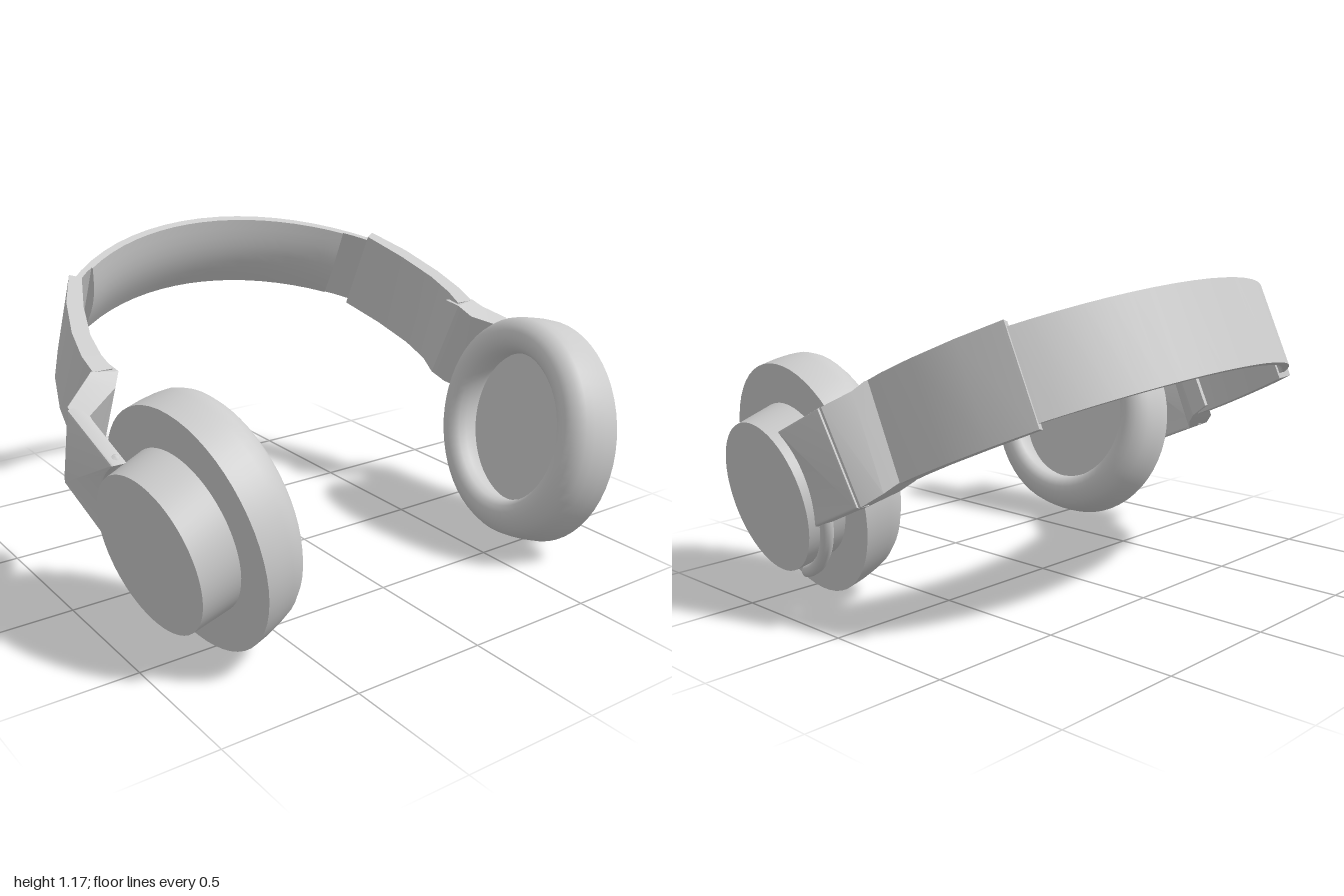
import * as THREE from 'three';
import { toCreasedNormals } from 'three/addons/utils/BufferGeometryUtils.js';

const material = new THREE.MeshStandardMaterial({ color: 0xcccccc, side: THREE.DoubleSide });

function add(parent, name, geometry, crease = 0.6) {
  const mesh = new THREE.Mesh(toCreasedNormals(geometry, crease), material);
  mesh.name = name;
  parent.add(mesh);
}

// Skin over equal-sized rings of points, capped at both ends
function loft(rings) {
  const n = rings[0].length, pos = rings.flat(2), index = [];
  for (let i = 0; i < rings.length - 1; i++) {
    for (let j = 0; j < n; j++) {
      const a = i * n + j, b = i * n + (j + 1) % n;
      index.push(a, b, b + n, a, b + n, a + n);
    }
  }
  const last = (rings.length - 1) * n;
  for (let j = 1; j < n - 1; j++) {
    index.push(0, j + 1, j, last, last + j, last + j + 1);
  }
  const g = new THREE.BufferGeometry();
  g.setAttribute('position', new THREE.Float32BufferAttribute(pos, 3));
  g.setIndex(index);
  return g.toNonIndexed();
}

// Flat bar from stations: inner x, y, outer x, y, two edges in z, inward lean of the lower edge
const bar = (stations) => loft(stations.map(([xi, yi, xo, yo, z0, z1, lean = 0]) =>
  [[xi - lean, yi, z0], [xo - lean, yo, z0], [xo, yo, z1], [xi, yi, z1]]));

const MID = 0.588;        // middle of the band's width
const ARCH = 0.18;        // height of the arch centre
const arc = (r, a, z) => [r * Math.sin(a), ARCH + r * Math.cos(a), z];

// Band frame: local y runs up and back along the band, local z across its width
function bandFrame(name) {
  const g = new THREE.Group();
  g.name = name;
  g.rotation.x = THREE.MathUtils.degToRad(-65);
  return g;
}

function headband() {
  const band = bandFrame('headband');
  const strap = [], pad = [];
  const z0 = MID - 0.157, z1 = MID + 0.157;
  for (let i = 0; i <= 18; i++) {
    const a = (i / 18 - 0.5) * Math.PI / 2;
    strap.push([arc(0.978, a, z0), arc(1, a, z0), arc(1, a, z1), arc(0.978, a, z1)]);
    // Cushion with a rounded underside
    const b = (i / 18 - 0.5) * 1.31;
    const ring = [arc(0.985, b, z0), arc(0.985, b, z1)];
    for (let k = 0; k <= 8; k++) {
      const t = k / 8;
      ring.push(arc(0.972 - 0.025 * Math.sin(t * Math.PI), b, z1 - t * 0.314));
    }
    pad.push(ring);
  }
  add(band, 'strap', loft(strap));
  add(band, 'bandCushion', loft(pad));
  return band;
}

function armSide() {
  const arm = bandFrame('arm');
  const z0 = MID - 0.177, z1 = MID + 0.177;
  add(arm, 'sleeve', bar([
    [0.672, 0.88, 0.712, 0.905, z0, z1],
    [0.74, 0.715, 0.79, 0.754, z0, z1],
    [0.785, 0.56, 0.843, 0.588, z0, z1],
    [0.795, 0.45, 0.864, 0.46, z0, z1],
    [0.788, 0.373, 0.862, 0.373, z0, z1],
  ]), 0.4);
  // Knuckle stepping outward from the sleeve
  add(arm, 'knuckle', bar([
    [0.775, 0.43, 0.80, 0.43, 0.43, 0.74],
    [0.775, 0.355, 0.87, 0.375, z0, z1],
    [0.81, 0.30, 0.91, 0.345, 0.395, 0.745],
    [0.94, 0.215, 0.993, 0.275, 0.377, 0.725, 0.034],
    [0.94, 0.18, 0.99, 0.22, 0.38, 0.722, 0.034],
  ]), 0.3);
  // Plate whose front edge is cut around the cup, leaning in with it
  const shape = new THREE.Shape();
  shape.moveTo(0.255, 0.385);
  shape.lineTo(0.255, 0.718);
  shape.lineTo(-0.016, 0.722);
  shape.absarc(-0.265, 0.554, 0.3, 0.595, -0.595, true);
  const plate = new THREE.ExtrudeGeometry(shape, {
    depth: 0.038, bevelThickness: 0.01, bevelSize: 0.008, bevelSegments: 2, curveSegments: 16,
  });
  plate.applyMatrix4(new THREE.Matrix4().makeBasis(
    new THREE.Vector3(0, 1, 0), new THREE.Vector3(0, 0, 1), new THREE.Vector3(1, 0, 0)));
  plate.applyMatrix4(new THREE.Matrix4().makeShear(0, 0, 0.08, 0, 0.1, 0));
  plate.translate(0.86, 0, 0);
  add(arm, 'armPlate', plate);
  return arm;
}

function earCup() {
  const cup = new THREE.Group();
  cup.name = 'earCup';
  // Local z is the cup's outward axis
  const e3 = new THREE.Vector3(0.98, -0.177, 0.10).normalize();
  const e2 = new THREE.Vector3(0, 1, 0).addScaledVector(e3, -e3.y).normalize();
  const e1 = e2.clone().cross(e3);
  cup.quaternion.setFromRotationMatrix(new THREE.Matrix4().makeBasis(e1, e2, e3));
  cup.position.set(0.80, 0.43, 0.46);
  // The layers of the cup step down slightly toward the outside
  const shear = new THREE.Matrix4().makeShear(0, 0, 0, 0, 0, -0.13);
  const addLayer = (name, g, crease) => add(cup, name, g.applyMatrix4(shear), crease);

  // Ear cushion, from the recessed floor over the rim to the back
  const profile = [
    [0, -0.08], [0.295, -0.08], [0.285, -0.105], [0.283, -0.14], [0.292, -0.17], [0.31, -0.188],
    [0.335, -0.196], [0.36, -0.193], [0.382, -0.182], [0.403, -0.165], [0.418, -0.14],
    [0.425, -0.105], [0.431, -0.05], [0.432, 0], [0, 0],
  ].map(([r, t]) => new THREE.Vector2(r, t));
  const cushion = new THREE.LatheGeometry(profile, 56).rotateX(Math.PI / 2);
  addLayer('earCushion', cushion.scale(0.975, 1.01, 1), 0.75);

  const housing = new THREE.CylinderGeometry(0.28, 0.29, 0.145, 56);
  addLayer('housing', housing.rotateX(Math.PI / 2).translate(0, 0, 0.0725));

  // Curved yoke hugging the housing, with round ends
  const points = [];
  for (let i = 0; i <= 16; i++) {
    const a = THREE.MathUtils.degToRad(54 - 126 * i / 16);
    points.push(new THREE.Vector3(0.307 * Math.cos(a), 0.307 * Math.sin(a), 0.09));
  }
  const path = new THREE.CatmullRomCurve3(points);
  addLayer('yoke', new THREE.TubeGeometry(path, 40, 0.024, 10), 1);
  for (const p of [points[0], points[16]]) {
    addLayer('yokeTip', new THREE.SphereGeometry(0.024, 12, 8).translate(p.x, p.y, p.z), 1);
  }
  return cup;
}

export function createModel() {
  const model = new THREE.Group();
  model.name = 'headphones';
  model.add(headband());
  for (const s of [1, -1]) {
    const side = new THREE.Group();
    side.name = s > 0 ? 'leftSide' : 'rightSide';
    side.add(armSide(), earCup());
    side.scale.x = s;
    model.add(side);
  }
  return model;
}
